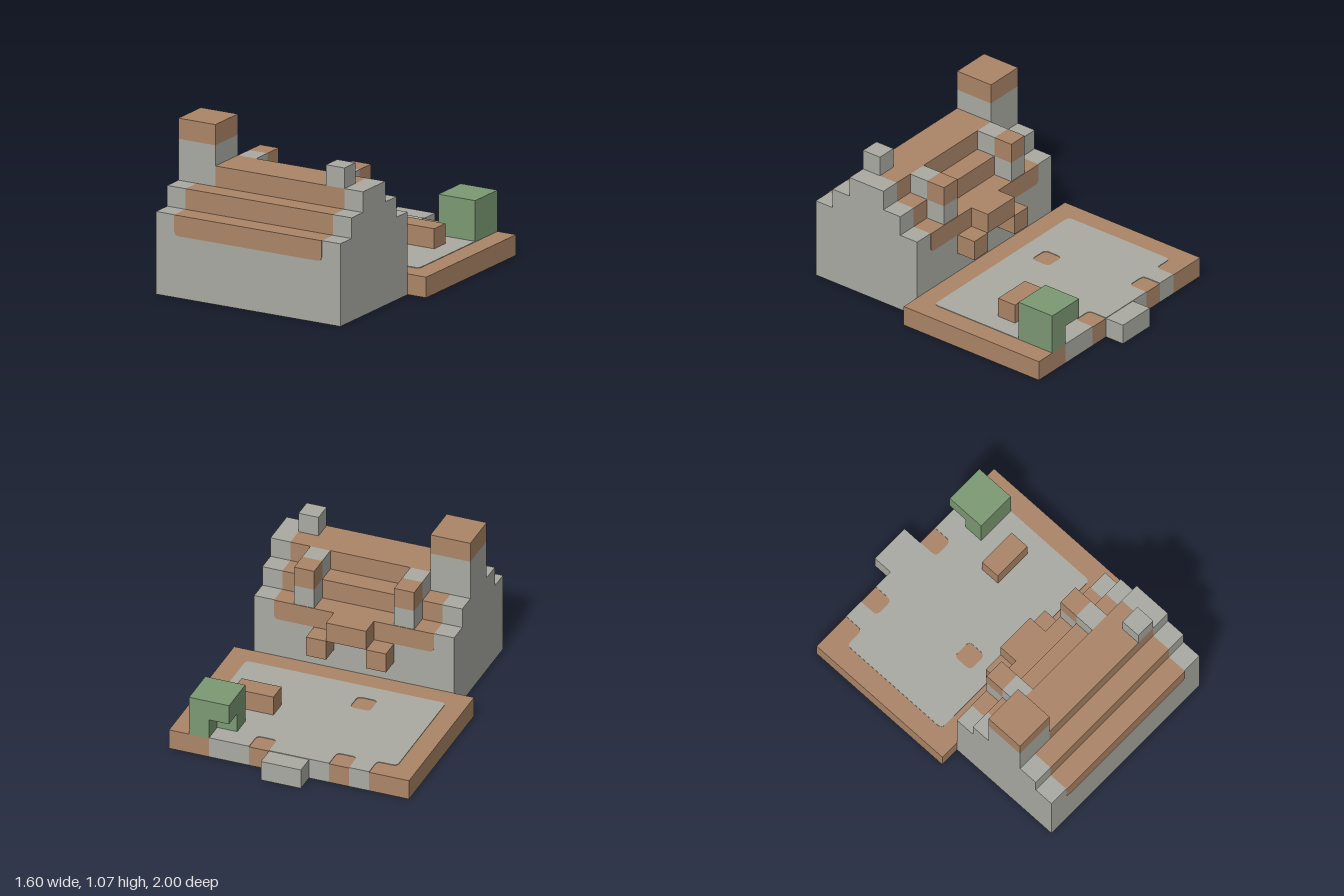
import * as THREE from 'three';

const U = 2 / 15; // one block
const FACES = ['left', 'right', 'top', 'bottom', 'front', 'back']; // +x -x +y -y +z -z

function paint(name, color) {
  const m = new THREE.MeshStandardMaterial({ color, side: THREE.DoubleSide });
  m.name = name;
  return m;
}

export function createModel() {
  const stone = paint('stone grey', 0xaaaaa3);
  const wood = paint('wood brown', 0xab8567);
  const leaf = paint('leaf green', 0x7c9973);
  const root = new THREE.Group();
  root.name = 'cottageWithYard';

  const part = (name) => {
    const g = new THREE.Group();
    g.name = name;
    root.add(g);
    return g;
  };

  const add = (parent, name, mat, geo) => {
    geo.translate(0, 0, -7.5).scale(U, U, U);
    const mesh = new THREE.Mesh(geo, mat);
    mesh.name = name;
    parent.add(mesh);
  };

  // Block in grid units, z counted from the back, keeping only the listed faces
  const block = (parent, name, mat, [x0, x1], [y0, y1], [z0, z1], faces) => {
    const geo = new THREE.BoxGeometry(x1 - x0, y1 - y0, z1 - z0);
    const keep = faces.split(' ');
    const all = Array.from(geo.index.array);
    geo.setIndex(all.filter((_, i) => keep.includes(FACES[Math.floor(i / 6)])));
    geo.clearGroups();
    geo.translate((x0 + x1) / 2, (y0 + y1) / 2, (z0 + z1) / 2);
    add(parent, name, mat, geo);
  };

  // Outline from points [a, b, rounded?]
  const outline = (pts, Kind = THREE.Shape) => {
    const s = new Kind();
    const r = 0.24;
    const toward = (p, q) => {
      const d = Math.hypot(q[0] - p[0], q[1] - p[1]);
      return [p[0] + ((q[0] - p[0]) * r) / d, p[1] + ((q[1] - p[1]) * r) / d];
    };
    pts.forEach((p, i) => {
      const prev = pts[(i + pts.length - 1) % pts.length];
      const next = pts[(i + 1) % pts.length];
      const start = p[2] ? toward(p, prev) : p;
      if (i === 0) s.moveTo(start[0], start[1]);
      else s.lineTo(start[0], start[1]);
      if (p[2]) s.quadraticCurveTo(p[0], p[1], ...toward(p, next));
    });
    s.closePath();
    return s;
  };
  const rect = (a0, b0, a1, b1, r) => [[a0, b0, r], [a1, b0, r], [a1, b1, r], [a0, b1, r]];
  const flip = (pts) => pts.map(([x, z, r]) => [x, -z, r]);
  const plate = (shape) => new THREE.ExtrudeGeometry(shape, { depth: 0.06, bevelEnabled: false, curveSegments: 4 }).translate(0, 0, -0.03);

  // Yard: open underneath, with cut-outs below the crate and the bush
  const yard = part('yard');
  const ground = outline(flip([[-6, 9], [6, 9], [6, 1], [5, 1], [5, 3], [3, 3], [3, 2], [4, 2], [4, 1], [-6, 1]]));
  ground.holes.push(outline(flip(rect(2, 4, 4, 5)), THREE.Path));
  add(yard, 'yardBorder', wood, new THREE.ShapeGeometry(ground).rotateX(-Math.PI / 2).translate(0, 1, 0));

  const paving = outline(flip([
    [-5, 8, 1], [5, 8, 1], [5, 3], [3, 3], [3, 2], [4, 2], [4, 1],
    [2, 1], [2, 2, 1], [1, 2, 1], [1, 1], [-2, 1], [-2, 2, 1], [-3, 2, 1],
    [-3, 1], [-4, 1], [-4, 2, 1], [-5, 2, 1],
  ]));
  paving.holes.push(outline(flip(rect(2, 4, 4, 5)), THREE.Path), outline(flip(rect(-2, 6, -1, 7, 1)), THREE.Path));
  add(yard, 'paving', stone, plate(paving).rotateX(-Math.PI / 2).translate(0, 1, 0));

  block(yard, 'yardSides', wood, [-6, 6], [0, 1], [1, 9], 'left right');
  for (const x of [-6, 5]) block(yard, 'yardFrontEdge', wood, [x, x + 1], [0, 1], [1, 9], 'front');
  const edge = [[-6, -4, wood], [-4, -3, stone], [-3, -2, wood], [-2, -1, stone], [1, 2, wood], [2, 4, stone], [4, 6, wood]];
  for (const [a, b, mat] of edge) block(yard, 'yardBackEdge', mat, [a, b], [0, 1], [1, 9], 'back');
  block(yard, 'backStep', stone, [-1, 1], [0, 1], [0, 1], 'left right top back');
  block(yard, 'crate', wood, [2, 4], [1, 2], [4, 5], 'left right top front back');

  // Bush with one lower corner missing
  const bush = part('bush');
  block(bush, 'bushTop', leaf, [3, 5], [2, 3], [1, 3], 'left right top front back');
  block(bush, 'bushOverhang', leaf, [3, 4], [2, 3], [1, 2], 'bottom');
  block(bush, 'bushOuterSide', leaf, [4, 5], [1, 2], [1, 3], 'left front back');
  block(bush, 'bushInnerSide', leaf, [4, 5], [1, 2], [1, 2], 'right');
  block(bush, 'bushFoot', leaf, [3, 4], [1, 2], [2, 3], 'right front back');

  // House walls
  const house = part('house');
  block(house, 'baseWalls', stone, [-5, 5], [0, 1], [9, 15], 'left right front');
  block(house, 'walls', stone, [-5, 5], [1, 4], [9, 15], 'left right front back');
  for (const z of [9, 15]) {
    const eave = outline([[-4, 4], [-4, 3, 1], [4, 3, 1], [4, 4]]);
    add(house, 'eave', wood, plate(eave).translate(0, 0, z));
  }

  // Stepped roof: gable ends, risers and treads
  const roof = part('roof');
  const bands = (from) => [[-5, from, stone], [from, 4, wood], [4, 5, stone]];
  for (const [y, inset, from] of [[4, 1, -4], [5, 2, -3]]) {
    const depth = [9 + inset, 15 - inset];
    block(roof, 'gableEnds', stone, [-5, 5], [y, y + 1], depth, 'left right');
    for (const [a, b, mat] of bands(from)) block(roof, 'roofRisers', mat, [a, b], [y, y + 1], depth, 'front back');
    for (const [a, b, mat] of bands(-4)) {
      for (const z of [8 + inset, 15 - inset]) block(roof, 'roofTread', mat, [a, b], [y - 1, y], [z, z + 1], 'top');
    }
  }
  block(roof, 'ridge', wood, [-3, 4], [5, 6], [11, 13], 'top');
  block(roof, 'ridgeEnd', stone, [4, 5], [5, 6], [11, 13], 'top');
  block(roof, 'ridgePost', stone, [3, 4], [6, 7], [12, 13], 'left right top front back');

  const chimney = part('chimney');
  block(chimney, 'chimneyStack', stone, [-5, -3], [6, 7], [11, 13], 'left right front back');
  block(chimney, 'chimneyCap', wood, [-5, -3], [7, 8], [11, 13], 'left right top front back');

  // Dormers on the back slope and the porch canopy, mirrored in x
  const dormers = part('dormers');
  const canopy = part('canopy');
  block(canopy, 'canopyTop', wood, [-1, 1], [3, 4], [8, 9], 'left right top bottom back');
  for (const s of [-1, 1]) {
    const span = (a, b) => (s > 0 ? [a, b] : [-b, -a]);
    block(dormers, 'dormerBase', stone, span(2, 3), [4, 5], [9, 10], 'left right back');
    block(dormers, 'dormerCap', wood, span(2, 3), [5, 6], [9, 10], 'left right top back');
    block(dormers, 'dormerRear', stone, span(2, 3), [5, 6], [10, 11], 'left right top');
    block(canopy, 'canopySide', wood, span(1, 2), [2, 3], [8, 9], 'left right top bottom back');
  }
  return root;
}
